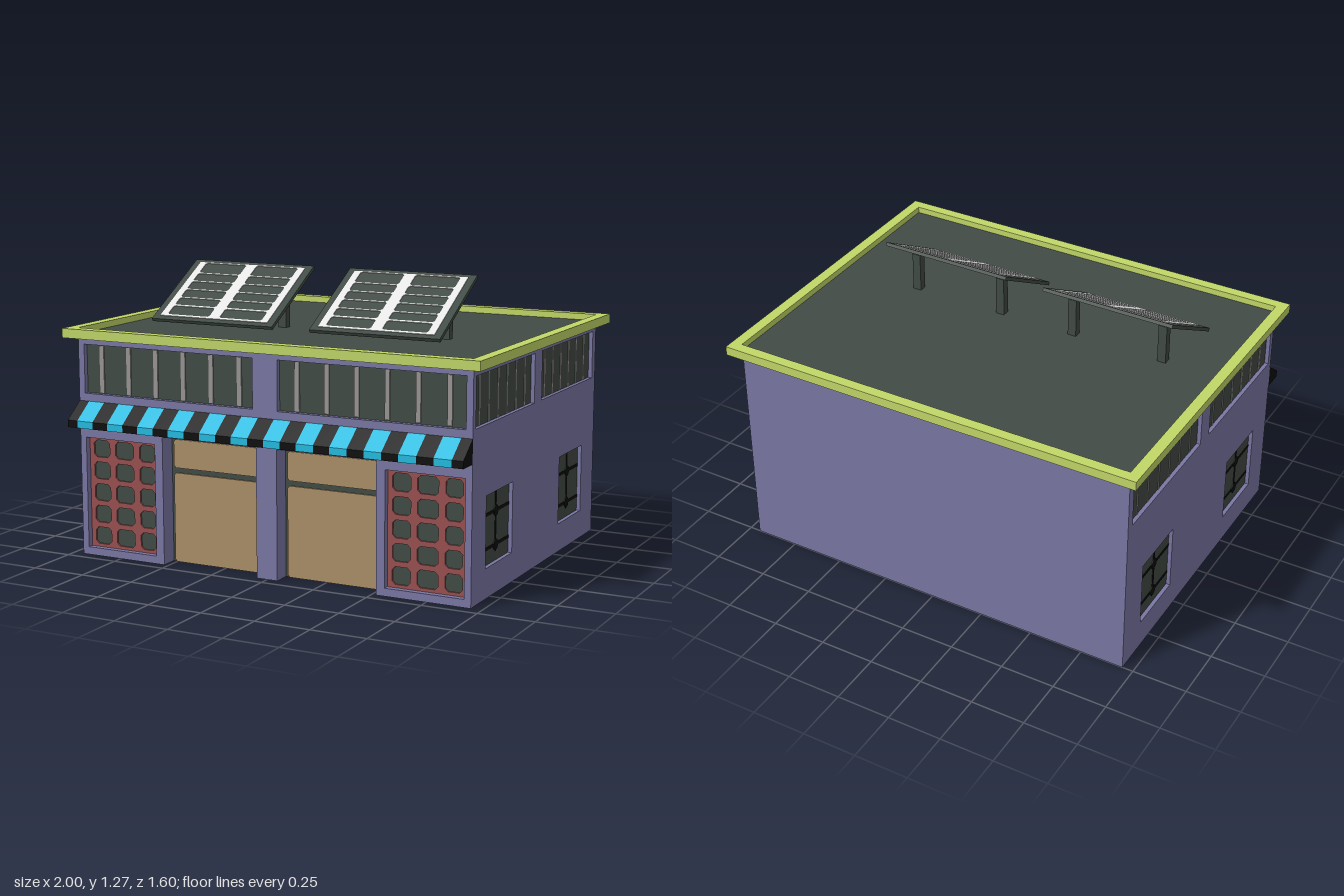
import * as THREE from 'three';

const mat = (name, color) => Object.assign(new THREE.MeshStandardMaterial({ color }), { name });

export function createModel() {
  const lavender = mat('lavender wall', 0x7a77a4), lime = mat('lime trim', 0xc2d768);
  const dark = mat('dark glass and roof', 0x414b45), tan = mat('tan door', 0xac9068);
  const red = mat('red lattice', 0x9a5051), grey = mat('grey mullion', 0x9a9695);
  const blue = mat('awning blue', 0x24bde2), black = mat('black', 0x0d0d0d);
  const white = mat('cell lines', 0xe8e8e8);
  const model = new THREE.Group();
  model.name = 'shopBuilding';

  const add = (parent, name, geo, material) => {
    const m = new THREE.Mesh(geo, material);
    m.name = name;
    parent.add(m);
    return m;
  };
  // Box given by its limits
  const box = (parent, name, material, x0, x1, y0, y1, z0, z1) => {
    const m = add(parent, name, new THREE.BoxGeometry(x1 - x0, y1 - y0, z1 - z0), material);
    m.position.set((x0 + x1) / 2, (y0 + y1) / 2, (z0 + z1) / 2);
    return m;
  };
  // Rectangle path [x0, x1, y0, y1] with optionally cut corners
  const rect = ([x0, x1, y0, y1], c = 0) => {
    const pts = c
      ? [[x0 + c, y0], [x1 - c, y0], [x1, y0 + c], [x1, y1 - c], [x1 - c, y1], [x0 + c, y1], [x0, y1 - c], [x0, y0 + c]]
      : [[x0, y0], [x1, y0], [x1, y1], [x0, y1]];
    return pts.map(p => new THREE.Vector2(...p));
  };
  // Flat panel with holes, from z0 to z1
  const panel = (parent, name, material, outline, holes, z0, z1, c = 0) => {
    const s = new THREE.Shape(outline);
    holes.forEach(h => s.holes.push(new THREE.Path(rect(h, c))));
    const m = add(parent, name, new THREE.ExtrudeGeometry(s, { depth: z1 - z0, bevelEnabled: false }), material);
    m.position.z = z0;
    return m;
  };

  // Front: upper wall with strip windows
  const frontWindows = [[-0.92, -0.065, 0.74, 0.96], [0.055, 0.92, 0.74, 0.96]];
  panel(model, 'upperFrontWall', lavender, rect([-0.925, 0.925, 0.7, 0.99]), frontWindows, 0.66, 0.7);
  frontWindows.forEach(([x0, x1, y0, y1], i) => {
    box(model, 'upperFrontGlass', dark, x0, x1, y0, y1, 0.667, 0.677);
    for (let k = 1; k <= 6; k++) {
      const x = i ? k * 0.14 : k * 0.14 - 0.98;
      box(model, 'frontMullion', grey, x - 0.011, x + 0.011, y0 + 0.005, y1 - 0.005, 0.662, 0.682);
    }
  });

  // Front: ground floor with door openings and lattice windows
  const outline = [[-0.925, 0], [-0.52, 0], [-0.52, 0.575], [-0.05, 0.575], [-0.05, 0], [0.05, 0], [0.05, 0.575],
    [0.52, 0.575], [0.52, 0], [0.925, 0], [0.925, 0.6], [-0.925, 0.6]].map(p => new THREE.Vector2(...p));
  const latticeHoles = [[-0.92, -0.56, 0.035, 0.54], [0.56, 0.92, 0.035, 0.54]];
  panel(model, 'lowerFrontWall', lavender, outline, latticeHoles, 0.6, 0.7);

  const columns = [[0.022, 0.105], [0.135, 0.23], [0.262, 0.34]];
  for (const [x0, x1, y0, y1] of latticeHoles) {
    box(model, 'latticeGlass', dark, x0, x1, y0, y1, 0.65, 0.664);
    const panes = [];
    for (let r = 0; r < 5; r++) for (const [a, b] of columns) {
      const y = y0 + 0.054 + r * 0.1;
      panes.push([x0 + a, x0 + b, y - 0.04, y + 0.037]);
    }
    for (const z of [0.642, 0.664]) panel(model, 'latticeFrame', red, rect([x0, x1, y0, y1]), panes, z, z + 0.008, 0.014);
  }

  // Recessed doors: dark frame with tan leaves showing on both sides
  for (const x of [-0.285, 0.285]) {
    box(model, 'doorFrame', dark, x - 0.235, x + 0.235, 0, 0.575, 0.605, 0.62);
    for (const [y0, y1] of [[0.001, 0.405], [0.428, 0.556]])
      panel(model, 'doorLeaf', tan, rect([x - 0.222, x + 0.222, y0, y1], 0.01), [], 0.598, 0.627);
  }

  // Back wall
  box(model, 'backWall', lavender, -0.95, 0.95, 0, 0.99, -0.75, -0.725);

  // Side walls with their windows, built facing local +z
  for (const s of [1, -1]) {
    const side = new THREE.Group();
    side.name = s > 0 ? 'leftSide' : 'rightSide';
    side.rotation.y = s * Math.PI / 2;
    model.add(side);
    const span = (z0, z1) => (s > 0 ? [-z1, -z0] : [z0, z1]);
    const upper = [[0.025, 0.67], [-0.71, -0.062]].map(v => [...span(...v), 0.74, 0.957]);
    const lower = [[0.26, 0.55], [-0.59, -0.3]].map(v => [...span(...v), 0.13, 0.44]);
    panel(side, 'sideWall', lavender, rect([...span(-0.725, 0.7), 0, 0.99]), [...upper, ...lower], 0.925, 0.95);
    for (const [a, b, y0, y1] of upper) {
      box(side, 'upperSideGlass', dark, a, b, y0, y1, 0.926, 0.932);
      for (let k = 1; k <= 6; k++) {
        const u = a + (b - a) * (k - 0.25) / 6.5;
        box(side, 'sideMullion', grey, u - 0.005, u + 0.005, y0, y1, 0.925, 0.934);
      }
    }
    for (const [a, b, y0, y1] of lower) {
      const u = (a + b) / 2;
      box(side, 'lowerSideGlass', dark, a, b, y0, y1, 0.926, 0.932);
      box(side, 'windowBar', black, u - 0.007, u + 0.007, y0 + 0.04, y1, 0.925, 0.934);
      for (const y of [0.2, 0.347]) {
        box(side, 'windowCrossBar', black, a, b, y - 0.007, y + 0.007, 0.925, 0.934);
        const boss = add(side, 'barBoss', new THREE.CylinderGeometry(0.025, 0.025, 0.012, 8), black);
        boss.rotation.x = Math.PI / 2;
        boss.position.set(u, y, 0.93);
      }
    }
  }

  // Striped awning, one wedge per stripe
  const wedge = new THREE.Shape([[0.69, 0.6], [0.795, 0.6], [0.795, 0.632], [0.7, 0.705], [0.69, 0.705]].map(p => new THREE.Vector2(...p)));
  const edges = [-0.95];
  for (let i = 0; i < 12; i++) {
    const x = -0.86 + i * 1.72 / 11;
    edges.push(x - 0.04, x + 0.04);
  }
  edges.push(0.95);
  for (let i = 0; i < edges.length - 1; i++) {
    const geo = new THREE.ExtrudeGeometry(wedge, { depth: edges[i + 1] - edges[i], bevelEnabled: false });
    const m = add(model, 'awningStripe', geo, i % 2 ? blue : black);
    m.rotation.y = -Math.PI / 2;
    m.position.x = edges[i + 1];
  }

  // Roof deck and parapet
  box(model, 'roofDeck', dark, -0.95, 0.95, 0.99, 1.003, -0.75, 0.7);
  const parapet = panel(model, 'parapet', lime, rect([-1, 1, -0.75, 0.8]), [[-0.95, 0.95, -0.7, 0.75]], 0, 0.042);
  parapet.rotation.x = -Math.PI / 2;
  parapet.position.y = 0.99;

  // Tilted solar panels on posts
  for (const x of [-0.465, 0.342]) {
    const solar = new THREE.Group();
    solar.name = 'solarPanel';
    solar.position.set(x, 1.152, 0.165);
    solar.rotation.x = Math.PI / 6;
    model.add(solar);
    box(solar, 'panelSlab', dark, -0.311, 0.311, -0.008, 0.008, -0.23, 0.23);
    const cells = [];
    const rows = [-0.205, -0.123, -0.06, 0.003, 0.066, 0.128, 0.198];
    for (let r = 0; r < 6; r++) for (const [a, b] of [[-0.243, -0.027], [0.027, 0.243]])
      cells.push([a, b, -rows[r + 1] + (r === 4 ? 0.006 : 0.003), -rows[r] - 0.003]);
    const grid = panel(solar, 'cellLines', white, rect([-0.277, 0.277, -0.206, 0.207]), cells, 0, 0.003, 0.008);
    grid.rotation.x = -Math.PI / 2;
    grid.position.y = 0.008;
    for (const dx of [-0.22, 0.22])
      box(model, 'panelPost', dark, x + dx - 0.02, x + dx + 0.02, 1, 1.185, 0.07, 0.106);
  }
  return model;
}
